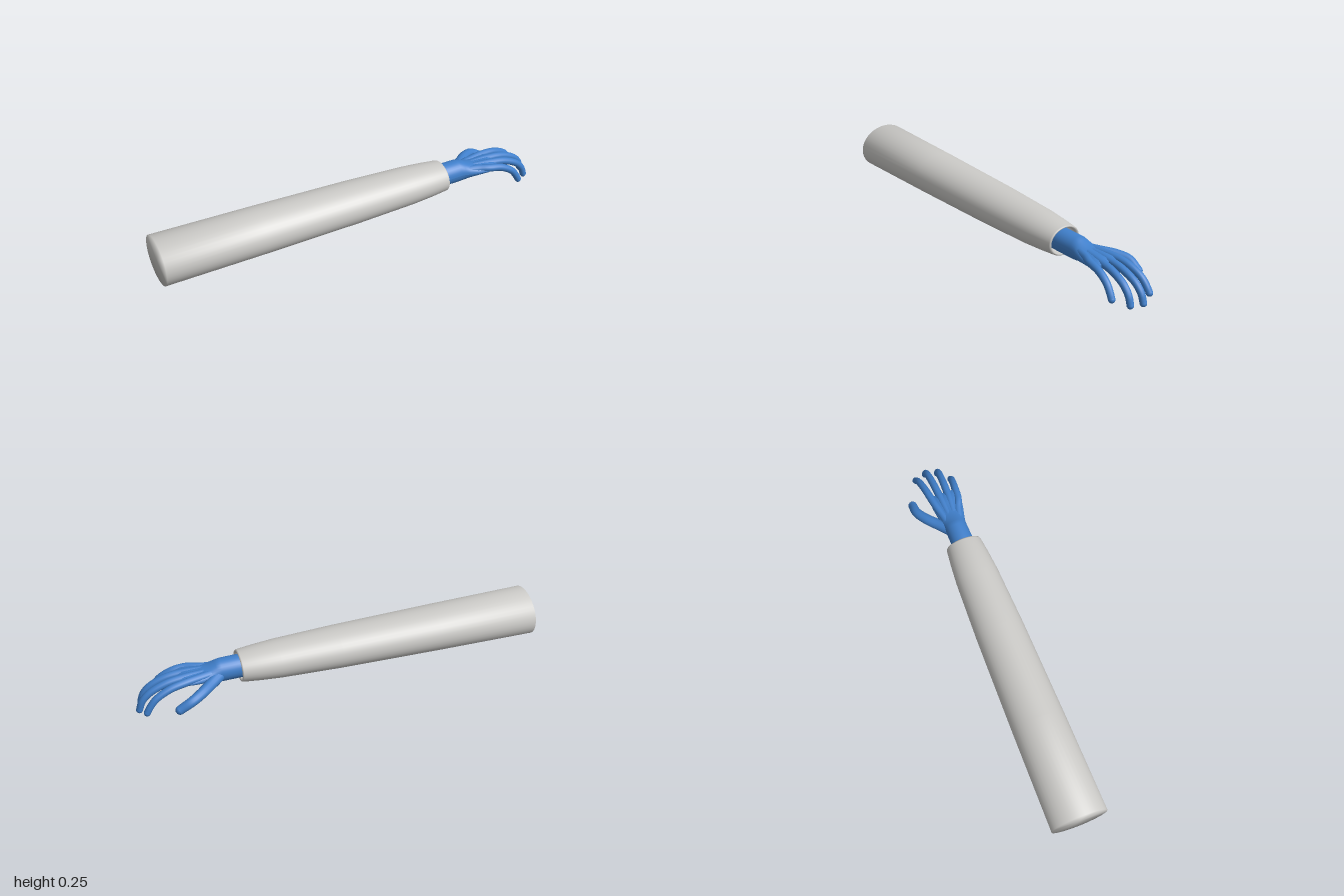
import * as THREE from 'three';
import { mergeGeometries } from 'three/addons/utils/BufferGeometryUtils.js';

const V = (p) => new THREE.Vector3(...p);

// Tapered tube along a smooth path, closed by a ball at the tip
function digit(points, r0, r1) {
  const path = new THREE.CatmullRomCurve3(points.map(V));
  const n = 28, sides = 14;
  const tube = new THREE.TubeGeometry(path, n, 1, sides);
  const pos = tube.attributes.position;
  const v = new THREE.Vector3();
  for (let i = 0; i <= n; i++) {
    const c = path.getPointAt(i / n);
    const r = THREE.MathUtils.lerp(r0, r1, i / n);
    for (let j = 0; j <= sides; j++) {
      const k = i * (sides + 1) + j;
      v.fromBufferAttribute(pos, k).sub(c).multiplyScalar(r).add(c);
      pos.setXYZ(k, v.x, v.y, v.z);
    }
  }
  const tip = new THREE.SphereGeometry(r1, 14, 10);
  tip.translate(...points[points.length - 1]);
  return mergeGeometries([tube, tip]);
}

// Closed body of elliptical sections [x, y, z, ry, rz]
function loft(sections) {
  const n = sections.length - 1;
  const geo = new THREE.CylinderGeometry(1, 1, 1, 32, n);
  geo.rotateZ(-Math.PI / 2);
  const pos = geo.attributes.position;
  for (let k = 0; k < pos.count; k++) {
    const [x, y, z, ry, rz] = sections[Math.round((pos.getX(k) + 0.5) * n)];
    pos.setXYZ(k, x, y + pos.getY(k) * ry, z + pos.getZ(k) * rz);
  }
  geo.computeVertexNormals();
  return geo;
}

export function createModel() {
  const model = new THREE.Group();
  const sleeveGrey = new THREE.MeshStandardMaterial({ color: 0xcbcac7, side: THREE.DoubleSide });
  sleeveGrey.name = 'sleeve grey';
  const gloveBlue = new THREE.MeshStandardMaterial({ color: 0x4080cc });
  gloveBlue.name = 'glove blue';

  const add = (parent, name, geo, mat) => {
    const mesh = new THREE.Mesh(geo, mat);
    mesh.name = name;
    parent.add(mesh);
    return mesh;
  };

  // Sleeve: closed at the upper arm, rolled hollow cuff at the wrist
  const profile = [
    [0, -1], [0.113, -1], [0.107, -0.5], [0.098, 0], [0.088, 0.3], [0.081, 0.4],
    [0.073, 0.484], [0.07, 0.49], [0.065, 0.49], [0.061, 0.484], [0.06, 0.43], [0, 0.43],
  ].map(([r, x]) => new THREE.Vector2(r, x));
  const sleeve = new THREE.LatheGeometry(profile, 40);
  sleeve.rotateZ(-Math.PI / 2);
  sleeve.scale(1, 1, 1.23);
  sleeve.translate(0, 0.137, 0.018);
  add(model, 'sleeve', sleeve, sleeveGrey);

  const hand = new THREE.Group();
  hand.name = 'hand';
  model.add(hand);

  // Wrist flowing into a flat palm
  add(hand, 'wristAndPalm', loft([
    [0.42, 0.137, 0.018, 0.057, 0.056],
    [0.5, 0.137, 0.018, 0.057, 0.056],
    [0.58, 0.137, 0.016, 0.057, 0.055],
    [0.605, 0.135, 0.016, 0.051, 0.056],
    [0.63, 0.133, 0.017, 0.041, 0.06],
    [0.67, 0.133, 0.019, 0.031, 0.068],
    [0.72, 0.136, 0.02, 0.026, 0.076],
    [0.76, 0.139, 0.02, 0.02, 0.077],
    [0.785, 0.14, 0.02, 0.008, 0.068],
  ]), gloveBlue);

  // Fingers: [name, base z, knuckle z, tip z, tip x, tip y]
  const fingers = [
    ['indexFinger', -0.008, -0.042, -0.07, 0.955, 0.037],
    ['middleFinger', 0.008, 0, -0.01, 0.981, 0.017],
    ['ringFinger', 0.026, 0.041, 0.05, 0.963, 0.019],
    ['littleFinger', 0.042, 0.081, 0.1, 0.898, 0.037],
  ];
  for (const [name, z0, z1, z2, x, y] of fingers) {
    const kx = 0.76 - Math.max(0, z1 - 0.04) * 0.7;
    const at = (t) => [kx + (x - kx) * t, z1 + (z2 - z1) * t];
    const [ax, az] = at(0.4), [bx, bz] = at(0.76), [cx, cz] = at(0.93);
    add(hand, name, digit([
      [0.6, 0.145, z0], [0.68, 0.145, (z0 + z1) / 2], [kx, 0.144, z1],
      [ax, 0.132, az], [bx, 0.098, bz], [cx, 0.06, cz], [x, y, z2],
    ], 0.021, 0.0165), gloveBlue);
  }

  // Thumb
  add(hand, 'thumb', digit([
    [0.58, 0.13, -0.005], [0.64, 0.12, -0.055], [0.7, 0.112, -0.105],
    [0.755, 0.098, -0.134], [0.812, 0.067, -0.136],
  ], 0.03, 0.022), gloveBlue);

  return model;
}
